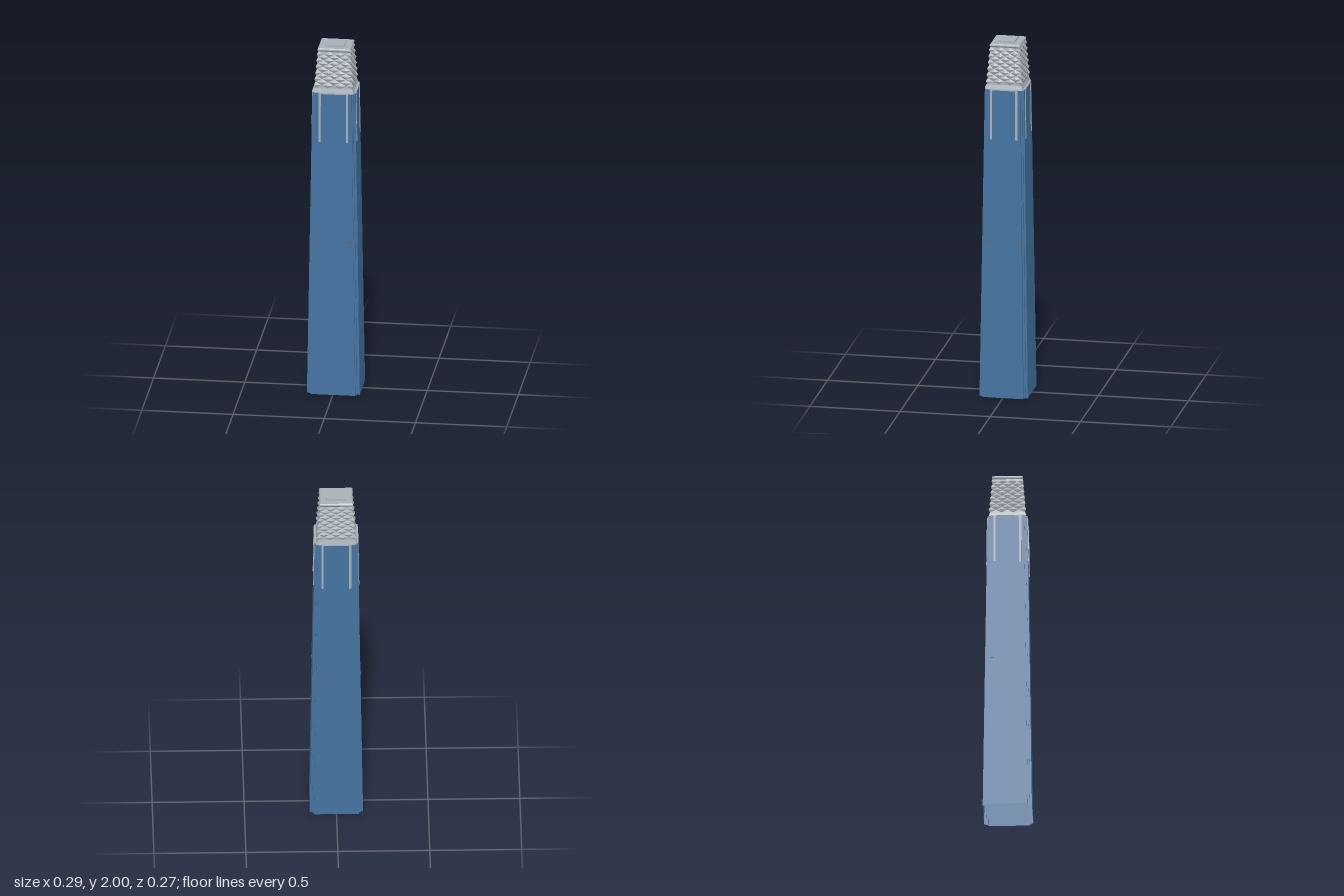
import * as THREE from 'three';

const blue = new THREE.MeshStandardMaterial({ color: 0x4473a1, side: THREE.DoubleSide });
blue.name = 'blue cladding';
const grey = new THREE.MeshStandardMaterial({ color: 0xa9b1b8 });
grey.name = 'pale grey';
const brown = new THREE.MeshStandardMaterial({ color: 0x75655a });
brown.name = 'brown';

// Flat-shaded geometry from a list of corner triples
function fromTriangles(points) {
  const geo = new THREE.BufferGeometry().setFromPoints(points);
  geo.computeVertexNormals();
  return geo;
}

// Skin between horizontal outlines; each ring is { y, pts: [[x, z], ...] }
function loft(rings, { top = true, bottom = true } = {}) {
  const tris = [];
  const loops = rings.map(r => r.pts.map(([x, z]) => new THREE.Vector3(x, r.y, z)));
  const n = loops[0].length;
  for (let k = 0; k < loops.length - 1; k++) {
    for (let i = 0; i < n; i++) {
      const j = (i + 1) % n, a = loops[k], b = loops[k + 1];
      tris.push(a[i], b[i], a[j], b[i], b[j], a[j]);
    }
  }
  const fan = (loop, up) => {
    const c = loop.reduce((s, p) => s.add(p), new THREE.Vector3()).divideScalar(n);
    loop.forEach((p, i) => {
      const q = loop[(i + 1) % n];
      tris.push(...(up ? [c, q, p] : [c, p, q]));
    });
  };
  if (top) fan(loops[loops.length - 1], true);
  if (bottom) fan(loops[0], false);
  return fromTriangles(tris);
}

const rect = (x0, x1, z0, z1) => [[x1, z0], [x1, z1], [x0, z1], [x0, z0]];
const centred = (y, hx, hz) => ({ y, pts: rect(-hx, hx, -hz, hz) });

const SHAFT_TOP = 1.74;
const shaftX = y => 0.145 - 0.027 * y / SHAFT_TOP;
const shaftZ = y => 0.134 - 0.025 * y / SHAFT_TOP;

// Square outline with two steps cut into every corner
function steppedRing(y) {
  const sx = shaftX(y) / 0.145, sz = shaftZ(y) / 0.134;
  const corner = [[0.145, 0.112], [0.131, 0.112], [0.131, 0.123], [0.122, 0.123], [0.122, 0.134]];
  const flip = (mx, mz) => corner.map(([x, z]) => [x * sx * mx, z * sz * mz]);
  return {
    y,
    pts: [...flip(1, 1), ...flip(-1, 1).reverse(), ...flip(-1, -1), ...flip(1, -1).reverse()],
  };
}

// Crown half sizes, narrowing upward
const crownX = y => THREE.MathUtils.mapLinear(y, 1.765, 1.975, 0.102, 0.085);
const crownZ = y => THREE.MathUtils.mapLinear(y, 1.765, 1.975, 0.095, 0.078);

// Point on one of the four crown sides, pushed out by d
function crownPoint(side, u, y, d) {
  const e = Math.abs(u) > 0.999 ? d : 0;
  const x = crownX(y), z = crownZ(y);
  return [
    new THREE.Vector3(u * (x + e), y, z + d),
    new THREE.Vector3(x + d, y, -u * (z + e)),
    new THREE.Vector3(-u * (x + e), y, -z - d),
    new THREE.Vector3(-x - d, y, u * (z + e)),
  ][side];
}

// Staggered rows of diamond-shaped studs, folded round the corners
function diamondStuds() {
  const tris = [], across = 3, rows = 11, h = 0.0175, w = 1 / across;
  for (let side = 0; side < 4; side++) {
    for (let r = 0; r < rows; r++) {
      const y = 1.765 + h * (r + 1);
      const odd = r % 2;
      const count = odd ? across : across + 1;
      for (let i = 0; i < count; i++) {
        const u = -1 + 2 * w * i + (odd ? w : 0);
        const P = (du, dy, d = 0) => crownPoint(side, u + du, y + dy, d);
        const c = P(0, 0, 0.008), t = P(0, h), b = P(0, -h);
        if (u > -0.99) tris.push(P(-w, 0), b, c, t, P(-w, 0), c);
        if (u < 0.99) tris.push(b, P(w, 0), c, P(w, 0), t, c);
      }
    }
  }
  return fromTriangles(tris);
}

export function createModel() {
  const model = new THREE.Group();
  model.name = 'tower';
  const add = (name, geo, mat) => {
    const mesh = new THREE.Mesh(geo, mat);
    mesh.name = name;
    model.add(mesh);
  };

  // Hollow tapering shaft, open underneath
  add('shaft', loft([steppedRing(0), steppedRing(SHAFT_TOP)], { top: false, bottom: false }), blue);

  // Ledge closing the shaft
  const lid = steppedRing(SHAFT_TOP);
  add('ledge', loft([{ y: SHAFT_TOP - 0.001, pts: lid.pts }, { y: SHAFT_TOP + 0.003, pts: lid.pts }]), grey);

  // Ledge lips and upright fins on each face, plus small fittings at mid height
  for (const s of [1, -1]) {
    const span = (f, d0, d1) => [f + d0, f + d1].map(v => v * s).sort((a, b) => a - b);
    const onZ = (y, a, b, d0, d1) => ({ y, pts: rect(a, b, ...span(shaftZ(y), d0, d1)) });
    const onX = (y, a, b, d0, d1) => ({ y, pts: rect(...span(shaftX(y), d0, d1), a, b) });
    for (const [face, on, half] of [['z', onZ, 0.075], ['x', onX, 0.07]]) {
      const plate = (name, y0, y1, a, b, d, mat) =>
        add(name, loft([on(y0, a, b, -0.004, d), on(y1, a, b, -0.004, d)]), mat);
      plate(`${face}Lip`, 1.737, 1.743, -half - 0.006, half + 0.006, 0.003, grey);
      for (const m of [-1, 1]) {
        const c = m * half;
        plate(`${face}Fin`, 1.46, 1.742, c - 0.006, c + 0.006, 0.003, grey);
        const f = m * (half + 0.012);
        plate(`${face}Fitting`, 0.88, 0.892, f - 0.007, f + 0.007, 0.002, brown);
      }
    }
  }

  // Crown core with plain foot, studs, chamfered rim and roof plate
  add('crownCore', loft([
    centred(1.74, 0.11, 0.102),
    centred(1.765, crownX(1.765), crownZ(1.765)),
    centred(1.975, crownX(1.975), crownZ(1.975)),
  ]), grey);
  add('crownStuds', diamondStuds(), grey);
  add('crownRim', loft([
    centred(1.972, 0.086, 0.079),
    centred(1.98, 0.091, 0.084),
    centred(1.986, 0.09, 0.083),
    centred(1.991, 0.085, 0.078),
  ]), grey);
  add('roofPlate', loft([centred(1.99, 0.051, 0.047), centred(2, 0.051, 0.047)]), grey);

  return model;
}
